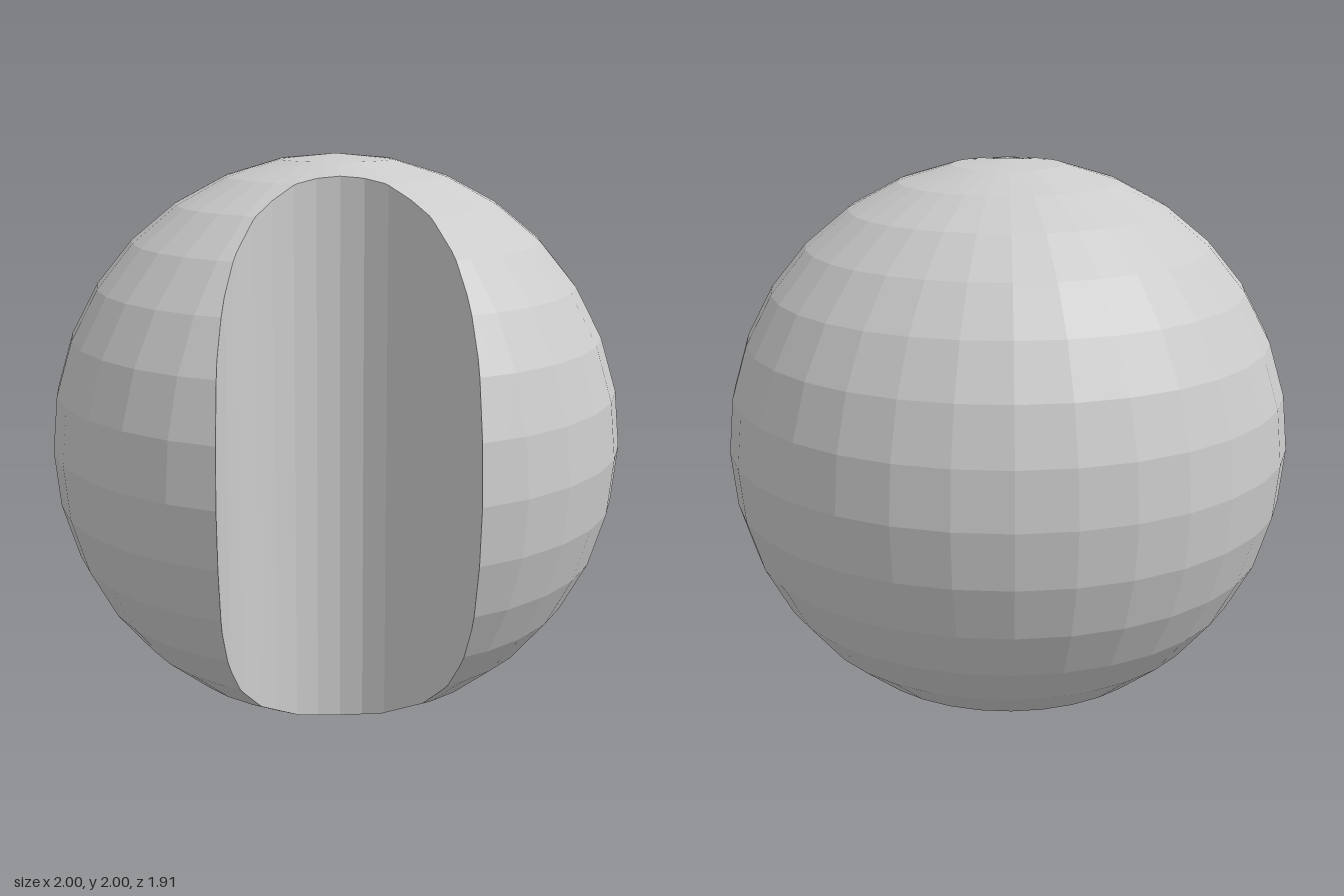
import * as THREE from 'three';

const V = (x, y, z) => new THREE.Vector3(x, y, z);

// Cut a convex polygon by a plane; returns the pieces outside and inside it.
function split(poly, { n, d }) {
  const outside = [], inside = [];
  poly.forEach((p, i) => {
    const q = poly[(i + 1) % poly.length];
    const a = n.dot(p) - d, b = n.dot(q) - d;
    if (a >= -1e-7) outside.push(p);
    if (a <= 1e-7) inside.push(p);
    if ((a > 1e-7 && b < -1e-7) || (a < -1e-7 && b > 1e-7)) {
      const m = p.clone().lerp(q, a / (a - b));
      outside.push(m);
      inside.push(m);
    }
  });
  return [outside, inside];
}

// Fan-triangulate flat polygons, each wound to face its normal.
function polygonMesh(name, faces) {
  const pos = [];
  for (const { poly, n } of faces) {
    for (let i = 1; i < poly.length - 1; i++) {
      const [a, b, c] = [poly[0], poly[i], poly[i + 1]];
      const cross = b.clone().sub(a).cross(c.clone().sub(a));
      if (cross.length() < 1e-9) continue;
      for (const p of cross.dot(n) > 0 ? [a, b, c] : [a, c, b]) pos.push(p.x, p.y, p.z);
    }
  }
  const geometry = new THREE.BufferGeometry();
  geometry.setAttribute('position', new THREE.Float32BufferAttribute(pos, 3));
  geometry.computeVertexNormals();
  const mesh = new THREE.Mesh(geometry, new THREE.MeshStandardMaterial({ color: 0xcccccc, flatShading: true }));
  mesh.name = name;
  return mesh;
}

// Flat facets of a unit sphere with its poles on y
function sphereFacets(columns, rows) {
  const point = (i, j) => new THREE.Vector3().setFromSphericalCoords(1, (Math.PI * j) / rows, (2 * Math.PI * i) / columns);
  const facets = [];
  for (let j = 0; j < rows; j++) {
    for (let i = 0; i < columns; i++) {
      const poly = [point(i, j), point(i, j + 1), point(i + 1, j + 1), point(i + 1, j)];
      const n = poly[2].clone().sub(poly[0]).cross(poly[3].clone().sub(poly[1])).normalize();
      if (n.dot(poly[1]) < 0) n.negate();
      facets.push({ poly, n, d: n.dot(poly[1]) });
    }
  }
  return facets;
}

// Sides of the upright groove: half an ellipse, open to the front
function grooveSides() {
  const outline = [[-0.4, 1.2]];
  for (let i = 0; i <= 16; i++) {
    const t = (Math.PI * i) / 16;
    outline.push([-0.4 * Math.cos(t), 0.9165 - 0.6 * Math.sin(t)]);
  }
  outline.push([0.4, 1.2]);
  return outline.slice(1).map(([x2, z2], i) => {
    const [x1, z1] = outline[i];
    const n = V(z2 - z1, 0, x1 - x2).normalize();
    const poly = [V(x1, -1.1, z1), V(x2, -1.1, z2), V(x2, 1.1, z2), V(x1, 1.1, z1)];
    return { poly, n, d: n.dot(poly[0]) };
  });
}

export function createModel() {
  const facets = sphereFacets(32, 16);
  const sides = grooveSides();

  // Ball surface: keep whatever lies outside the groove
  const shell = [];
  for (const { poly, n } of facets) {
    // Facets wholly clear of the groove stay in one piece
    if (sides.some((s) => poly.every((p) => s.n.dot(p) >= s.d - 1e-7))) {
      shell.push({ poly, n });
      continue;
    }
    let rest = poly;
    for (const side of sides) {
      const [outside, inside] = split(rest, side);
      if (outside.length > 2) shell.push({ poly: outside, n });
      rest = inside;
      if (rest.length < 3) break;
    }
  }

  // Groove wall: each strip trimmed to the inside of the ball
  const wall = [];
  for (const { poly, n } of sides) {
    let strip = poly;
    for (const facet of facets) strip = split(strip, facet)[1];
    if (strip.length > 2) wall.push({ poly: strip, n: n.clone().negate() });
  }

  const model = new THREE.Group();
  model.name = 'groovedBall';
  const ball = new THREE.Group();
  ball.name = 'ball';
  ball.position.set(0, 1, 0.04);
  ball.add(polygonMesh('ballSurface', shell), polygonMesh('grooveWall', wall));
  model.add(ball);
  return model;
}
